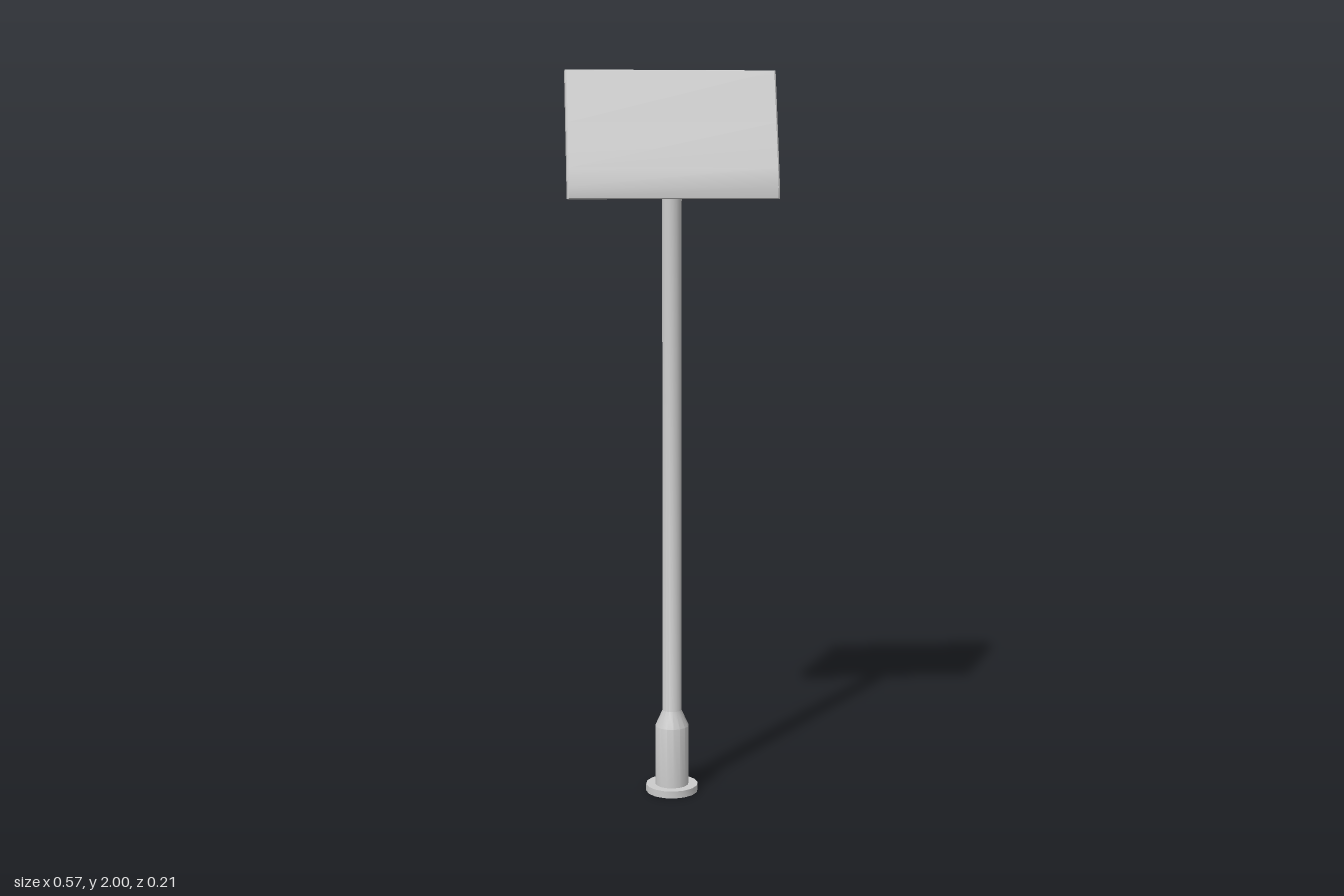
import * as THREE from 'three';
import { toCreasedNormals } from 'three/addons/utils/BufferGeometryUtils.js';

const material = new THREE.MeshStandardMaterial({ color: 0xcccccc });
const POLE_X = -0.003, POLE_Z = 0.029;
const THICKNESS = 0.076;

// Side profile of the sign's front face: upright at the foot, leaning back above
const lean = [[1.657, 0.067], [1.69, 0.067], [1.74, 0.053], [1.86, 0.016], [2.0, -0.029]];
const LEVELS = lean.length;

function frontZ(y) {
  let i = 0;
  while (i < LEVELS - 2 && y > lean[i + 1][0]) i++;
  const [y0, z0] = lean[i], [y1, z1] = lean[i + 1];
  return z0 + (z1 - z0) * (y - y0) / (y1 - y0);
}

// Closed loop around the panel: up the -x side, then down the +x side
function ring(halfWidth, bottom, top, depth) {
  const ys = lean.map(([y]) => THREE.MathUtils.clamp(y, bottom, top));
  // keep levels distinct when the loop starts above the lowest bend
  if (bottom >= lean[1][0]) ys[1] = bottom + 0.015;
  const side = (x, y) => [x, y, frontZ(y) - depth];
  return [...ys.map(y => side(-halfWidth, y)), ...ys.reverse().map(y => side(halfWidth, y))];
}

function panelGeometry() {
  const loops = [
    ring(0.281, 1.66, 1.998, 0),                  // front face
    ring(0.285, 1.657, 2.0, 0.004),               // softened front edge
    ring(0.285, 1.657, 2.0, THICKNESS),           // outer back edge
    ring(0.262, 1.692, 1.985, THICKNESS),         // inner edge of the rim
    ring(0.258, 1.697, 1.981, THICKNESS - 0.046), // floor of the recess
  ];
  const positions = [];
  const quad = (a, b, c, d) => positions.push(...a, ...b, ...c, ...a, ...c, ...d);
  for (let k = 0; k < loops.length - 1; k++) {
    const a = loops[k], b = loops[k + 1], n = a.length;
    for (let j = 0; j < n; j++) quad(a[j], a[(j + 1) % n], b[(j + 1) % n], b[j]);
  }
  const front = loops[0], floor = loops[loops.length - 1], last = 2 * LEVELS - 1;
  for (let i = 0; i < LEVELS - 1; i++) {
    quad(front[i], front[last - i], front[last - i - 1], front[i + 1]);
    quad(floor[i], floor[i + 1], floor[last - i - 1], floor[last - i]);
  }
  const geometry = new THREE.BufferGeometry();
  geometry.setAttribute('position', new THREE.Float32BufferAttribute(positions, 3));
  return toCreasedNormals(geometry, 0.5);
}

// Turned part standing on the pole's axis
function turned(name, profile) {
  const points = profile.map(([r, y]) => new THREE.Vector2(r, y));
  const geometry = toCreasedNormals(new THREE.LatheGeometry(points, 16), 0.45);
  const mesh = new THREE.Mesh(geometry, material);
  mesh.name = name;
  mesh.position.set(POLE_X, 0, POLE_Z);
  return mesh;
}

export function createModel() {
  const model = new THREE.Group();
  model.name = 'signPost';

  // Base disc, sleeve and pole
  model.add(turned('baseFlange', [[0, 0], [0.073, 0], [0.073, 0.02], [0, 0.02]]));
  model.add(turned('pole', [
    [0.047, 0.018], [0.047, 0.19], [0.0265, 0.235], [0.0265, 1.658], [0, 1.658],
  ]));

  // Leaning sign panel with a recessed back
  const panel = new THREE.Mesh(panelGeometry(), material);
  panel.name = 'signPanel';
  model.add(panel);

  return model;
}
